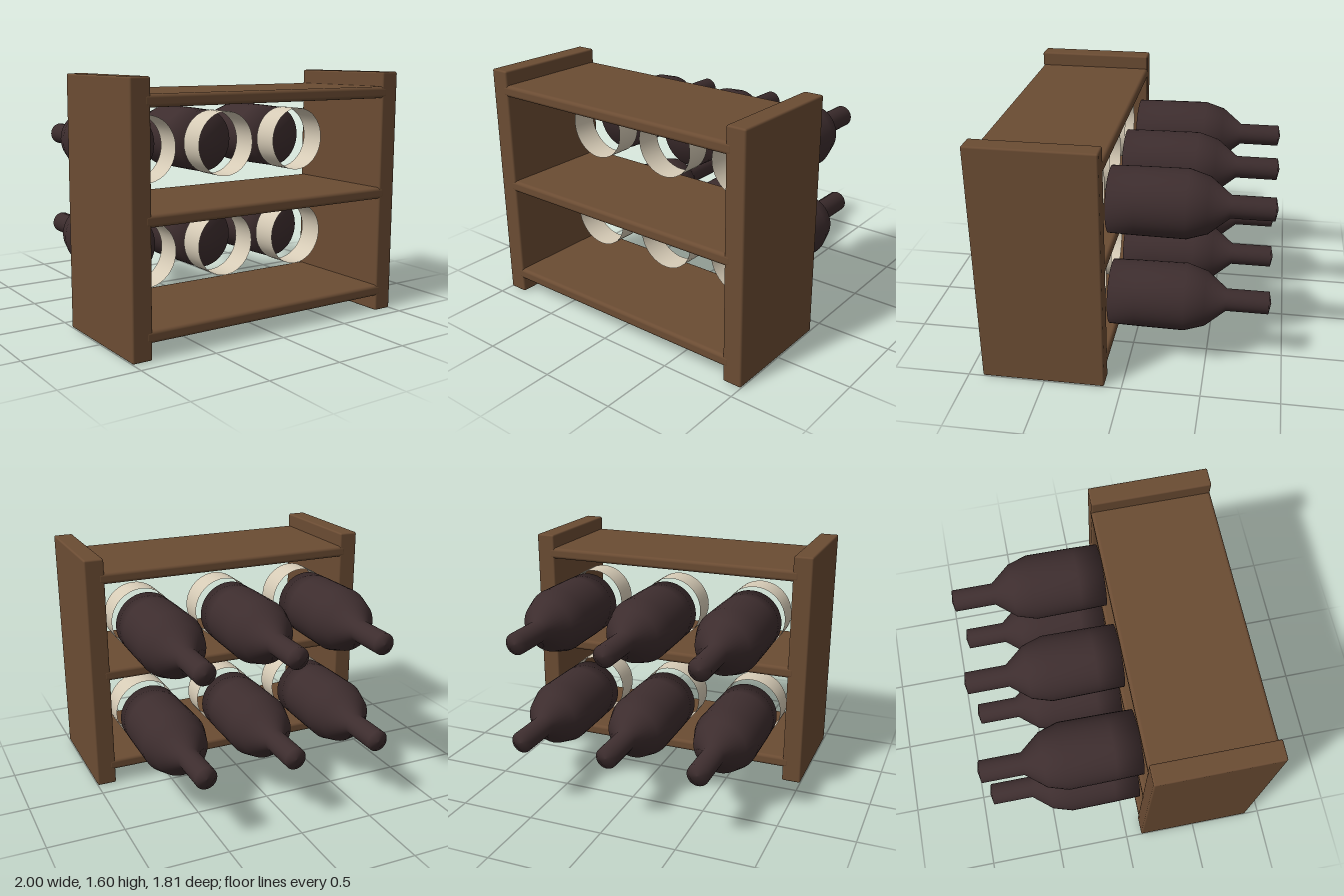
import * as THREE from 'three';
import { RoundedBoxGeometry } from 'three/addons/geometries/RoundedBoxGeometry.js';

export function createModel() {
  const wood = new THREE.MeshStandardMaterial({ color: 0x6b4c33 });
  wood.name = 'brown wood';
  const glass = new THREE.MeshStandardMaterial({ color: 0x3d2d2e });
  glass.name = 'dark glass';
  const paper = new THREE.MeshStandardMaterial({ color: 0xd6cbb6, side: THREE.DoubleSide });
  paper.name = 'cream paper';

  const model = new THREE.Group();
  model.name = 'bottleRack';
  const add = (name, geometry, material, x, y, z, parent = model) => {
    const mesh = new THREE.Mesh(geometry, material);
    mesh.name = name;
    mesh.position.set(x, y, z);
    parent.add(mesh);
    return mesh;
  };

  // Side panels
  const panel = new RoundedBoxGeometry(0.13, 1.6, 0.795, 2, 0.012);
  add('leftPanel', panel, wood, 0.935, 0.8, 0.508);
  add('rightPanel', panel, wood, -0.935, 0.8, 0.508);

  // Shelves, their rounded ends set into the panels
  const shelf = new RoundedBoxGeometry(1.83, 0.075, 0.798, 3, 0.022);
  [0.138, 0.803, 1.468].forEach((y, i) => add('shelf' + (i + 1), shelf, wood, 0, y, 0.508));

  // Bottle profile from base to mouth, laid down with the neck to the back
  const profile = [
    [0, -0.12], [0.21, -0.12], [0.214, 0.05], [0.217, 0.36],
    [0.177, 0.49], [0.072, 0.62], [0.072, 0.89], [0, 0.905],
  ].map(([r, h]) => new THREE.Vector2(r, h));
  const bottleShape = new THREE.LatheGeometry(profile, 40).rotateX(-Math.PI / 2);

  // Open paper sleeve in front of each base
  const sleeve = new THREE.CylinderGeometry(0.213, 0.213, 0.18, 40, 1, true).rotateX(Math.PI / 2);

  for (const y of [0.47, 1.136]) {
    for (const x of [-0.6, 0, 0.6]) {
      const bottle = new THREE.Group();
      bottle.name = 'bottle';
      bottle.position.set(x, y, 0);
      add('bottleBody', bottleShape, glass, 0, 0, 0, bottle);
      add('paperSleeve', sleeve, paper, 0, 0, 0.29, bottle);
      model.add(bottle);
    }
  }
  return model;
}
